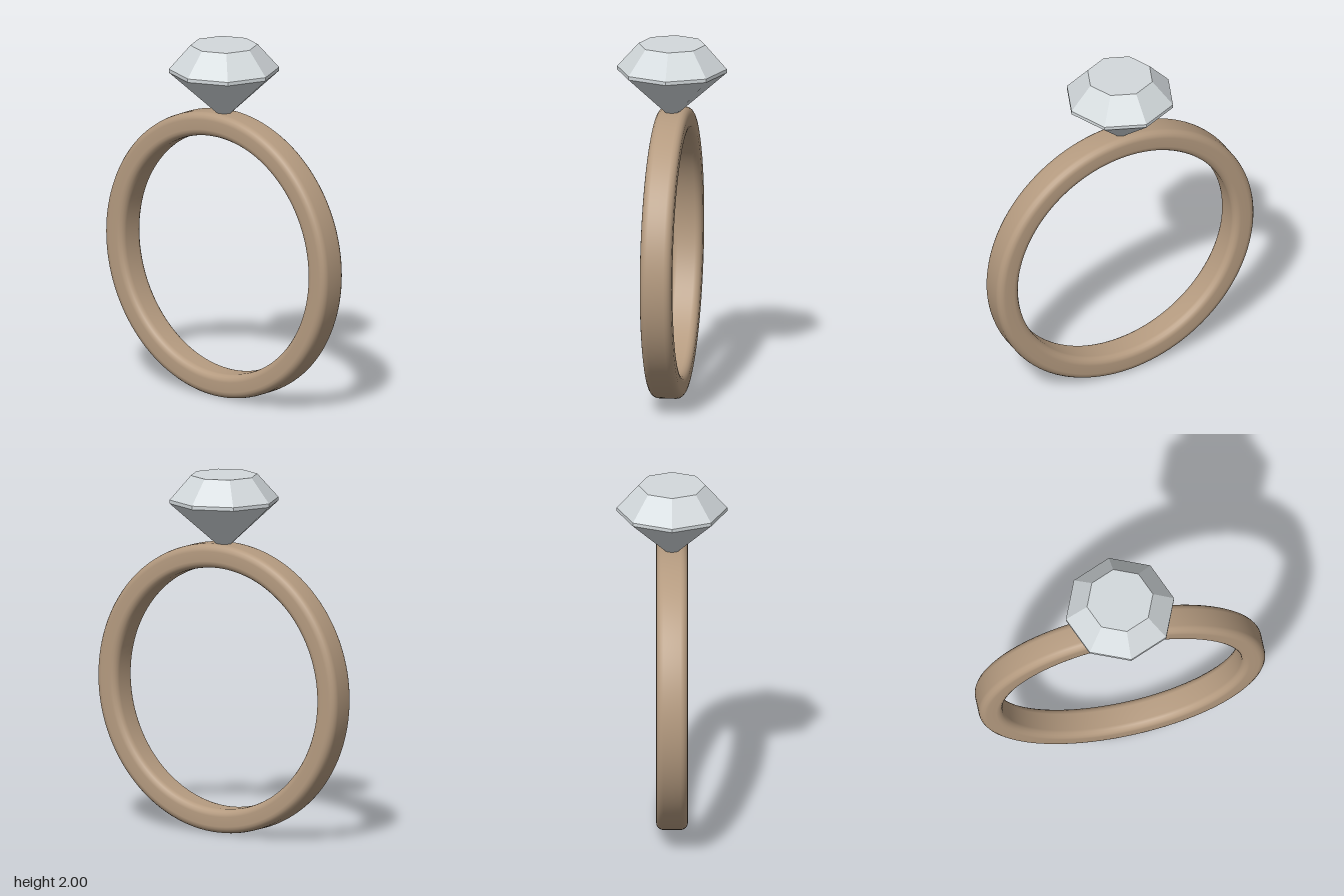
import * as THREE from 'three';

export function createModel() {
  const bandMat = new THREE.MeshStandardMaterial({ color: 0xb59b80 });
  bandMat.name = 'warm bronze';
  const gemMat = new THREE.MeshStandardMaterial({ color: 0xd3d9dc, flatShading: true });
  gemMat.name = 'pale crystal';

  const ring = new THREE.Group();
  ring.name = 'ring';

  // Band: a rounded rectangular section turned about the finger axis
  const inner = 0.674, outer = 0.808, half = 0.0875, round = 0.04;
  const profile = [new THREE.Vector2(outer, 0)];
  const corners = [
    [outer - round, half - round, 0],
    [inner + round, half - round, 1],
    [inner + round, round - half, 2],
    [outer - round, round - half, 3],
  ];
  for (const [cx, cy, quarter] of corners) {
    for (let i = 0; i <= 4; i++) {
      const a = (quarter + i / 4) * Math.PI / 2;
      profile.push(new THREE.Vector2(cx + round * Math.cos(a), cy + round * Math.sin(a)));
    }
  }
  profile.push(profile[0].clone());
  const band = new THREE.Mesh(new THREE.LatheGeometry(profile, 128), bandMat);
  band.name = 'band';
  band.rotation.x = Math.PI / 2;
  band.position.y = outer;
  ring.add(band);

  // Gem: point sunk in the band, pavilion, thin girdle, crown and flat table
  const facets = [[0, 1.575], [0.305, 1.846], [0.305, 1.866], [0.186, 2], [0, 2]];
  const gem = new THREE.Mesh(
    new THREE.LatheGeometry(facets.map(([r, y]) => new THREE.Vector2(r, y)), 8), gemMat);
  gem.name = 'gem';
  ring.add(gem);

  return ring;
}
